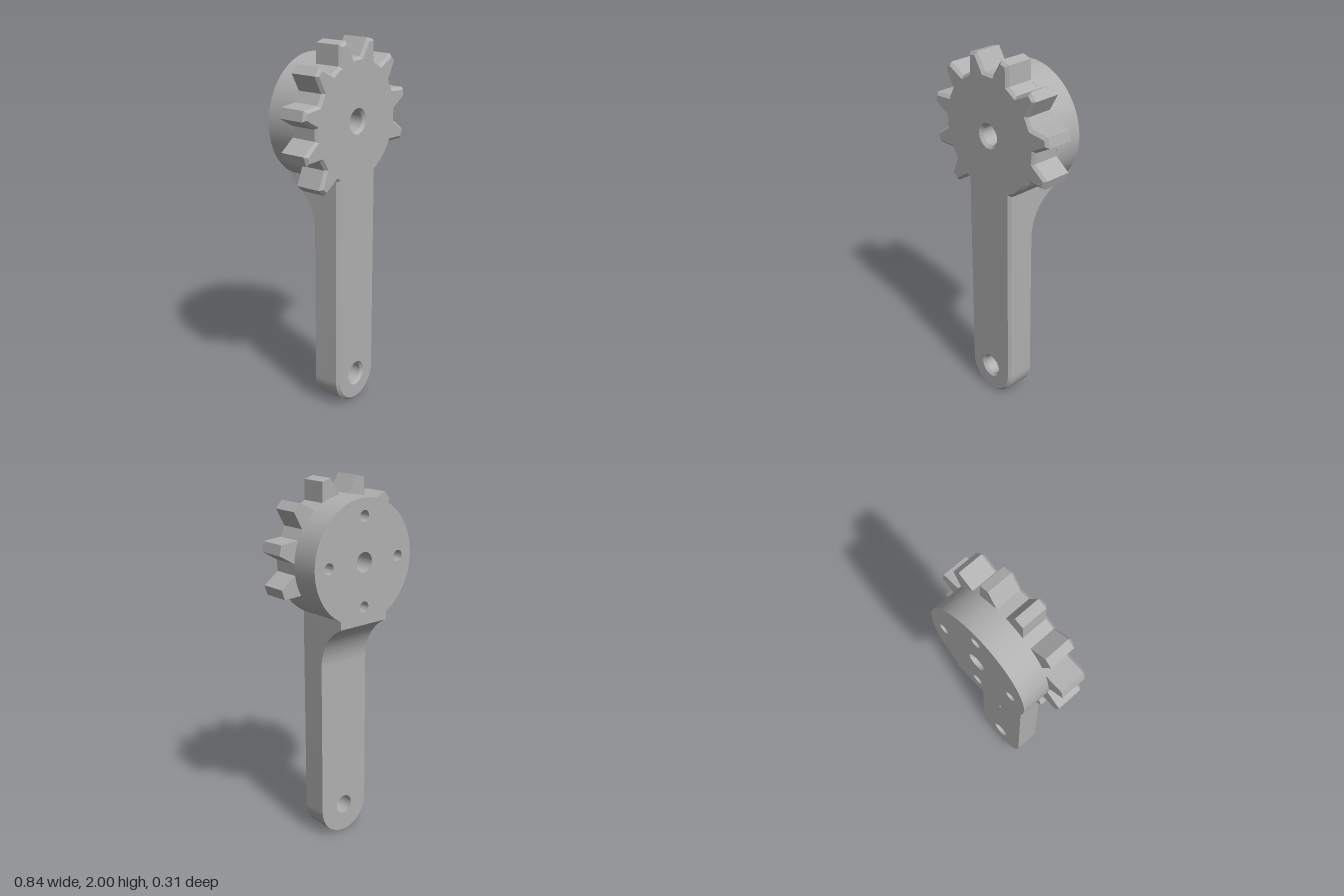
import * as THREE from 'three';
import { toCreasedNormals } from 'three/addons/utils/BufferGeometryUtils.js';

const DEG = Math.PI / 180;
const GEAR_Y = 1.586;      // centre of the gear and hub
const ROOT_R = 0.327;      // hub radius, also the root of the teeth
const TIP_R = 0.423;
const ARM_W = 0.157;       // half width of the arm
const PIVOT_Y = 0.157;     // centre of the lower hole
const THICK = 0.157;
const CHAMFER = 0.015;
const BORE_R = 0.053;

// Point around the gear centre, angle in degrees clockwise from the top
const polar = (r, deg) =>
  new THREE.Vector2(r * Math.sin(deg * DEG), GEAR_Y + r * Math.cos(deg * DEG));

function hole(x, y, r) {
  const path = new THREE.Path();
  path.absarc(x, y, r, 0, Math.PI * 2, true);
  return path;
}

function extrude(shape, depth, options = {}) {
  const geometry = new THREE.ExtrudeGeometry(shape, {
    depth, bevelEnabled: false, curveSegments: 32, ...options,
  });
  return toCreasedNormals(geometry, 0.4);
}

// Arm outline with nine teeth around its upper end
function plateShape() {
  const points = [];
  for (let i = 0; i <= 32; i++) {
    const a = Math.PI + (i / 32) * Math.PI;
    points.push(new THREE.Vector2(ARM_W * Math.cos(a), PIVOT_Y + ARM_W * Math.sin(a)));
  }
  // Plain rounded edge on the side without the fifth tooth
  for (let i = 0; i <= 8; i++) points.push(polar(ROOT_R, 151.3 - (i / 8) * 31));
  for (let i = 0; i < 9; i++) {
    const a = 108.5 - i * 31;
    points.push(polar(ROOT_R, a + 10.2), polar(TIP_R, a + 3.7),
      polar(TIP_R, a - 3.7), polar(ROOT_R, a - 10.2));
  }
  points.push(new THREE.Vector2(-ARM_W, 1.297));
  const shape = new THREE.Shape(points);
  shape.holes.push(hole(0, GEAR_Y, BORE_R), hole(0, PIVOT_Y, BORE_R));
  return shape;
}

export function createModel() {
  const group = new THREE.Group();
  const grey = new THREE.MeshStandardMaterial({ color: 0xb0b0b0 });
  grey.name = 'grey';

  const add = (name, geometry) => {
    const mesh = new THREE.Mesh(geometry, grey);
    mesh.name = name;
    group.add(mesh);
    return mesh;
  };

  // Toothed arm with straight sides
  const plate = plateShape();
  add('toothedArm', extrude(plate, THICK - CHAMFER));

  // Chamfered front edge of the arm, teeth and bores
  add('frontChamfer', extrude(plate, 0.0005, {
    bevelEnabled: true, bevelThickness: CHAMFER, bevelSize: CHAMFER,
    bevelOffset: -CHAMFER, bevelSegments: 1,
  })).position.z = THICK - CHAMFER - 0.0005;

  // Round hub on the back with a bore and four screw holes
  const hubShape = new THREE.Shape();
  hubShape.absarc(0, GEAR_Y, ROOT_R, 0, Math.PI * 2, false);
  hubShape.holes.push(hole(0, GEAR_Y, BORE_R));
  for (let i = 0; i < 4; i++) {
    const p = polar(0.235, i * 90);
    hubShape.holes.push(hole(p.x, p.y, 0.03));
  }
  add('hub', extrude(hubShape, THICK)).position.z = -THICK;

  // Concave web blending the back of the arm into the hub
  const webR = 0.27;
  const webEnd = Math.acos(1 - THICK / webR);
  const web = new THREE.Shape();
  web.moveTo(0, 1.01);
  web.absarc(-webR, 1.01, webR, 0, webEnd, false);
  web.lineTo(-THICK, 1.299);
  web.lineTo(0, 1.299);
  const webGeometry = extrude(web, ARM_W * 2);
  webGeometry.rotateY(-Math.PI / 2);
  webGeometry.translate(ARM_W, 0, 0);
  add('web', webGeometry);

  return group;
}
